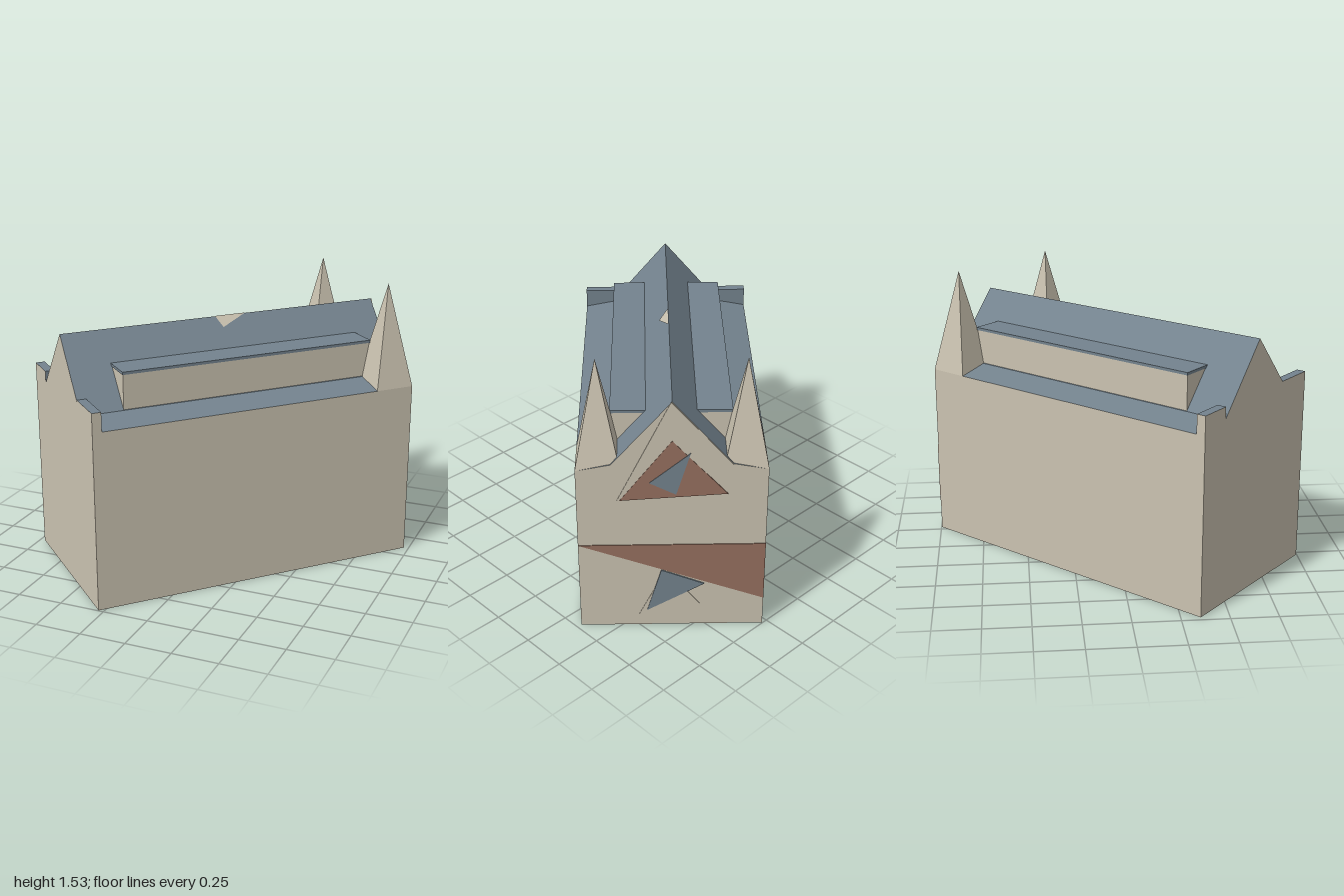
import * as THREE from 'three';

const HALF_W = 0.474, HALF_L = 0.92, EAVE = 0.97, RIDGE = 1.355;

export function createModel() {
  const mat = (name, color) => {
    const m = new THREE.MeshStandardMaterial({ color });
    m.name = name;
    return m;
  };
  const stone = mat('stone', 0xcbc3b1);
  const slate = mat('slate', 0x74838e);
  const brick = mat('brick', 0x97705f);

  const church = new THREE.Group();
  church.name = 'church';

  const add = (name, geometry, material, x = 0, y = 0, z = 0) => {
    const mesh = new THREE.Mesh(geometry, material);
    mesh.name = name;
    mesh.position.set(x, y, z);
    church.add(mesh);
    return mesh;
  };
  const box = (name, material, x0, x1, y0, y1, z0, z1) =>
    add(name, new THREE.BoxGeometry(x1 - x0, y1 - y0, z1 - z0), material,
      (x0 + x1) / 2, (y0 + y1) / 2, (z0 + z1) / 2);
  const prism = (points, depth) => new THREE.ExtrudeGeometry(
    new THREE.Shape(points.map(p => new THREE.Vector2(...p))),
    { depth, bevelEnabled: false });

  // Walls
  box('walls', stone, -HALF_W, HALF_W, 0, EAVE, -HALF_L, HALF_L);

  // Steep nave roof with shallow aisle roofs; the end caps are the stone gables
  add('roof', prism([[-HALF_W, EAVE], [HALF_W, EAVE], [0.3, 1.003], [0, RIDGE], [-0.3, 1.003]],
    HALF_L * 2), [stone, slate], 0, 0, -HALF_L);

  // Clerestory walls rising out of both roof slopes, with a flat slate cover
  box('clerestory', stone, -0.298, 0.298, 0.98, 1.192, -0.745, 0.69);
  box('clerestoryRoof', slate, -0.303, 0.303, 1.192, 1.207, -0.748, 0.693);

  // Shallow arches along the clerestory
  for (const side of [-1, 1]) {
    for (let i = 0; i < 5; i++) {
      const arch = new THREE.Mesh(new THREE.CircleGeometry(0.08, 16, 0, Math.PI), stone);
      arch.name = 'clerestoryArch';
      arch.rotation.y = side * Math.PI / 2;
      arch.position.set(side * 0.3, 1.09, 0.44 - i * 0.25);
      church.add(arch);
    }
  }

  // Front corner parapets: slate on top, back and inner side (+x, -x, +y, -y, +z, -z)
  box('leftParapet', [stone, slate, slate, stone, stone, slate],
    0.246, HALF_W, EAVE, 1.073, 0.87, HALF_L);
  box('rightParapet', [slate, stone, slate, stone, stone, slate],
    -HALF_W, -0.295, EAVE, 1.073, 0.87, HALF_L);

  // Square spires on the rear corners
  for (const side of [-1, 1]) {
    const spire = new THREE.ConeGeometry(0.11 * Math.SQRT2, 0.56, 4).toNonIndexed();
    spire.rotateY(Math.PI / 4);
    spire.computeVertexNormals();
    add('spire', spire, stone, side * 0.364, EAVE + 0.28, -0.81);
  }

  // Triangular plates on the rear facade: points, material, thickness
  const plates = [
    ['upperGablePanel', stone, 0.004, [[0.005, 1.355], [-0.3, 1.0], [0.275, 0.79]]],
    ['upperBrickPanel', brick, 0.006, [[0, 1.14], [-0.276, 0.83], [0.26, 0.795]]],
    ['upperWindow', slate, 0.009, [[-0.09, 1.07], [-0.02, 0.83], [0.113, 0.9]]],
    ['brickBand', brick, 0.004, [[HALF_W, 0.52], [-HALF_W, 0.52], [-HALF_W, 0.17]]],
    ['doorPanel', stone, 0.003, [[0.03, 0.36], [0.17, 0.07], [-0.195, 0.07]]],
    ['doorWindow', slate, 0.007, [[0.054, 0.36], [-0.166, 0.27], [0.128, 0.1]]],
  ];
  for (const [name, material, t, points] of plates) {
    add(name, prism(points, t), material, 0, 0, -HALF_L - t);
  }

  // Small stone chip lying on the left slope at the ridge
  const chip = new THREE.BufferGeometry();
  chip.setAttribute('position', new THREE.Float32BufferAttribute(
    [0, RIDGE, 0.05, 0.046, 1.301, 0.019, 0, RIDGE, -0.13], 3));
  chip.computeVertexNormals();
  add('ridgeChip', chip, stone, 0.003, 0.003, 0);

  // The whole building stands turned on its plot
  church.rotation.y = -0.749;
  const model = new THREE.Group();
  model.name = 'model';
  model.add(church);
  return model;
}
